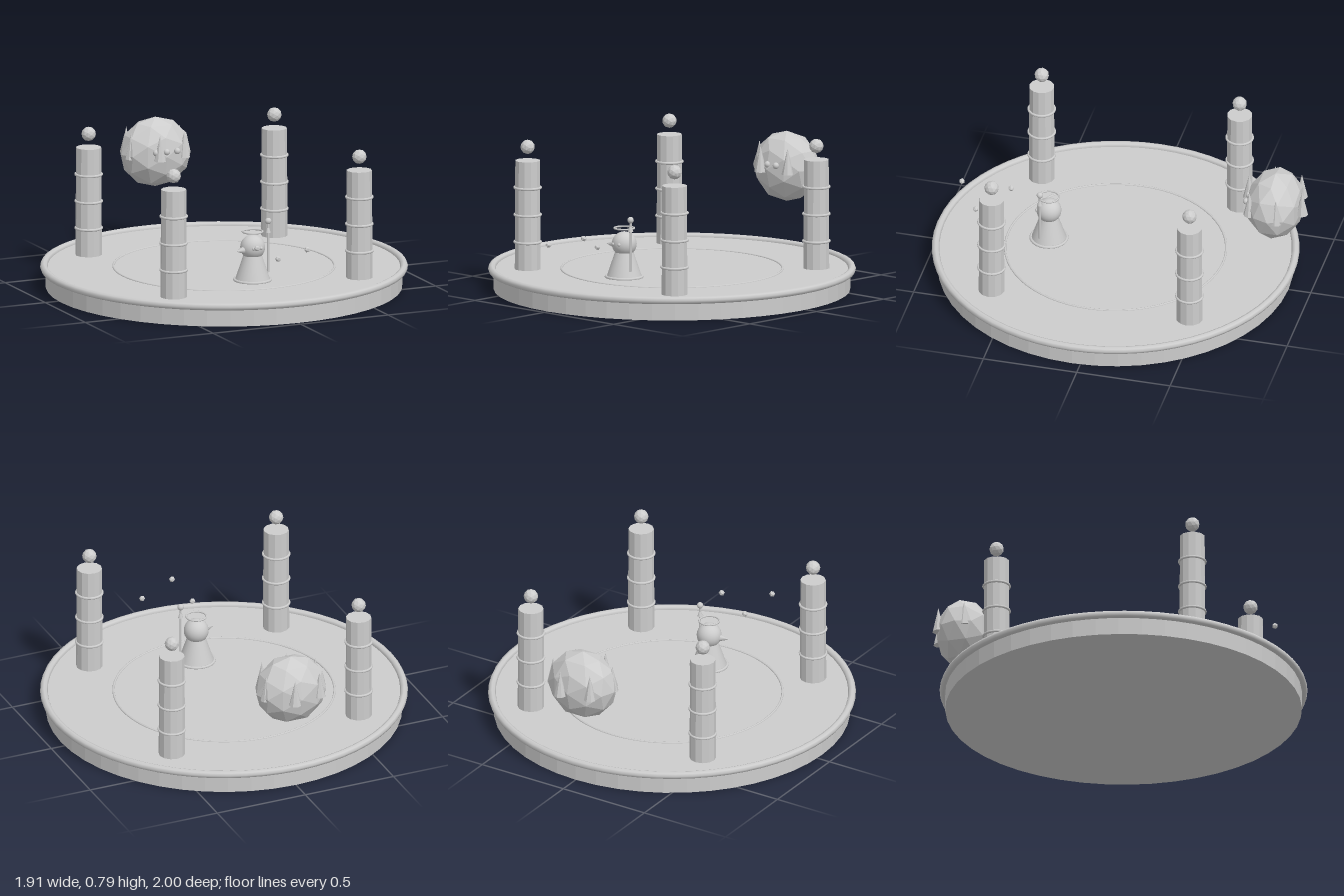
import * as THREE from 'three';

const stone = new THREE.MeshStandardMaterial({ color: 0xcccccc });
stone.name = 'paleStone';

// Facet a geometry by giving each triangle its own normals
function flat(geo) {
  const g = geo.index ? geo.toNonIndexed() : geo;
  g.computeVertexNormals();
  return g;
}

function add(parent, name, geo, x = 0, y = 0, z = 0) {
  const mesh = new THREE.Mesh(geo, stone);
  mesh.name = name;
  mesh.position.set(x, y, z);
  parent.add(mesh);
  return mesh;
}

function group(parent, name, x, y, z) {
  const g = new THREE.Group();
  g.name = name;
  g.position.set(x, y, z);
  parent.add(g);
  return g;
}

// Horizontal ring
const ring = (r, tube, sides = 48) =>
  new THREE.TorusGeometry(r, tube, 8, sides).rotateX(Math.PI / 2);

const DECK = 0.108;
const CENTRE = 0.045;

function buildArena(model) {
  const arena = group(model, 'arena', 0, 0, CENTRE);
  add(arena, 'platform', flat(new THREE.CylinderGeometry(0.926, 0.926, DECK, 48)), 0, DECK / 2, 0);
  add(arena, 'platformRim', ring(0.935, 0.02, 64), 0, DECK, 0);
  add(arena, 'floorRing', ring(0.574, 0.006, 64), 0, DECK, 0);

  // Four banded pillars with floating orbs
  const height = 0.572;
  for (const sx of [-1, 1]) for (const sz of [-1, 1]) {
    const pillar = group(arena, 'pillar', sx * 0.53, DECK, sz * 0.53);
    add(pillar, 'pillarShaft', flat(new THREE.CylinderGeometry(0.066, 0.069, height, 12)), 0, height / 2, 0);
    for (const t of [0.25, 0.5, 0.75]) add(pillar, 'pillarBand', ring(0.068, 0.007, 24), 0, height * t, 0);
    add(pillar, 'pillarOrb', flat(new THREE.IcosahedronGeometry(0.038, 1)), 0, 0.643, 0);
  }
}

function buildMonster(model) {
  const monster = group(model, 'floatingMonster', 0, 0.537, -0.812);
  add(monster, 'monsterBody', flat(new THREE.IcosahedronGeometry(1, 1).scale(0.194, 0.185, 0.152)));
  // Six upright spikes around the body
  for (let i = 0; i < 6; i++) {
    const a = Math.PI / 4 + i * Math.PI / 3;
    add(monster, 'monsterSpike', flat(new THREE.ConeGeometry(0.032, 0.138, 8)),
      Math.cos(a) * 0.162, 0.052, Math.sin(a) * 0.158);
  }
  for (const x of [-0.06, 0, 0.06]) {
    add(monster, 'monsterEye', new THREE.SphereGeometry(0.017, 12, 8), x, 0.026, 0.143);
  }
}

function buildHero(model) {
  const hero = group(model, 'hero', 0, 0, 0.402);
  add(hero, 'robe', new THREE.CylinderGeometry(0.046, 0.093, 0.14, 24), 0, DECK + 0.07, 0);
  add(hero, 'robeHem', ring(0.094, 0.008, 32), 0, DECK + 0.004, 0);
  add(hero, 'head', new THREE.SphereGeometry(0.065, 24, 16), 0, 0.284, 0);
  add(hero, 'halo', ring(0.052, 0.005, 32), 0, 0.367, 0);
  for (const s of [-1, 1]) {
    add(hero, 'eye', new THREE.SphereGeometry(0.009, 10, 8), s * 0.021, 0.288, 0.06);
  }
  // Small pointed arm on the right side
  const arm = add(hero, 'pointedArm', new THREE.ConeGeometry(0.021, 0.055, 8), -0.08, 0.276, 0.018);
  arm.rotation.set(0, 0.2, Math.PI / 2);

  // Staff held on the left side
  const staff = group(hero, 'staff', 0.075, 0, 0.03);
  add(staff, 'staffShaft', new THREE.CylinderGeometry(0.006, 0.006, 0.27, 8), 0, 0.285, 0);
  add(staff, 'staffCollar', new THREE.ConeGeometry(0.014, 0.045, 8), 0, 0.383, 0);
  add(staff, 'staffOrb', new THREE.SphereGeometry(0.017, 12, 8), 0, 0.422, 0);
}

export function createModel() {
  const model = new THREE.Group();
  model.name = 'arenaScene';
  buildArena(model);
  buildMonster(model);
  buildHero(model);
  // Sparks hovering ahead of the hero
  for (const [x, z] of [[-0.077, 0.625], [0.15, 0.757], [-0.077, 0.888]]) {
    add(model, 'spark', flat(new THREE.IcosahedronGeometry(0.016, 0)), x, 0.331, z);
  }
  return model;
}
